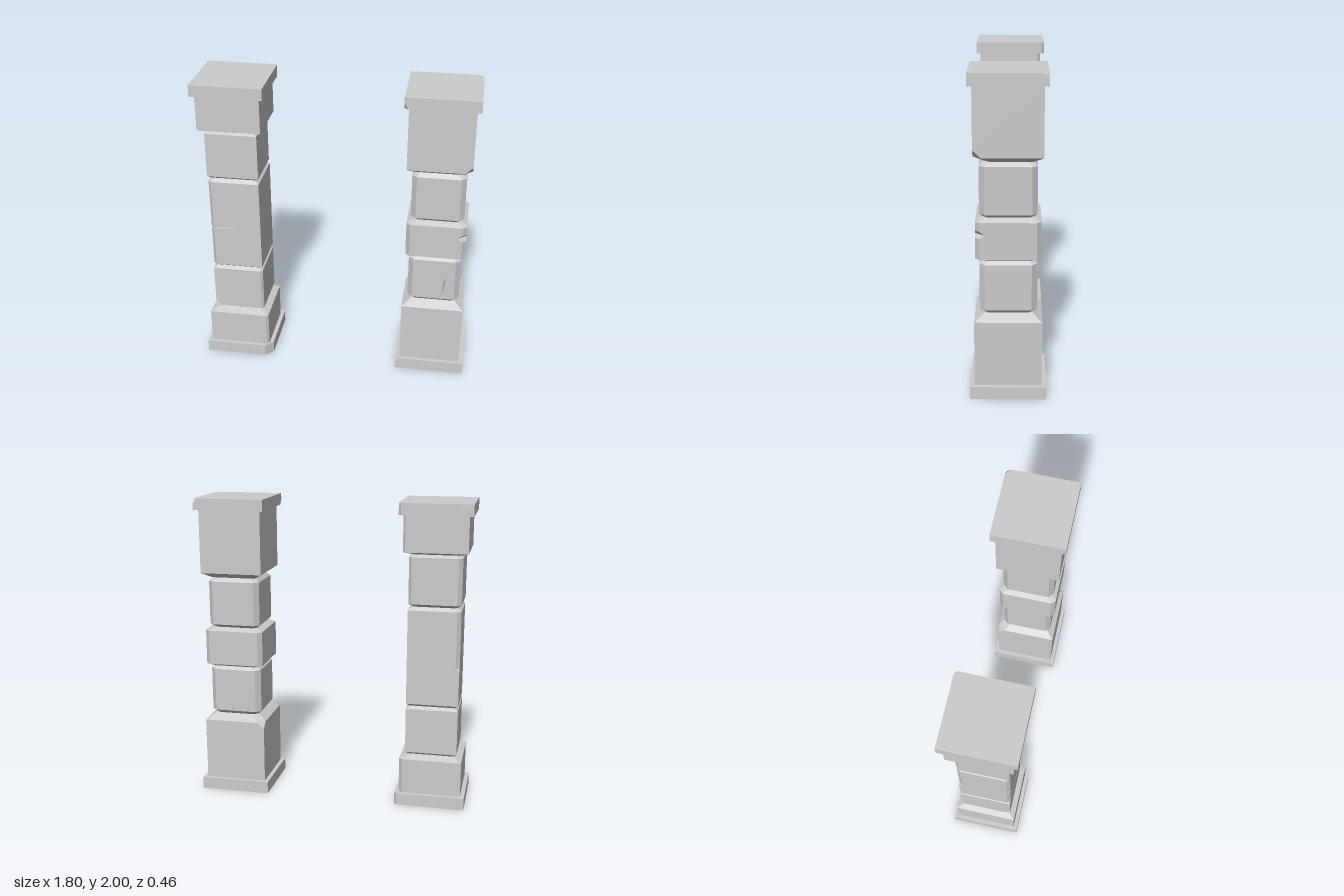
import * as THREE from 'three';

const stone = new THREE.MeshStandardMaterial({ color: 0xcccccc, flatShading: true });
const crackStone = new THREE.MeshStandardMaterial({ color: 0xcccccc, flatShading: true, side: THREE.DoubleSide });
const PLAIN = [0, 0, 0, 0];

function toGeometry(pos) {
  const g = new THREE.BufferGeometry();
  g.setAttribute('position', new THREE.Float32BufferAttribute(pos, 3));
  g.computeVertexNormals();
  return g;
}

// Square section with cut corners, in the order (+x+z), (+x-z), (-x-z), (-x+z).
function section([y, h, c]) {
  const [a, b, d, e] = c.map((v) => h - v);
  return [[a, h], [h, a], [h, -b], [b, -h], [-d, -h], [-h, -d], [-h, e], [-e, h]]
    .map(([x, z]) => new THREE.Vector3(x, y, z));
}

// Stack of sections joined into a closed stone; openFront leaves out the main front face.
function loft(rings, openFront) {
  const s = rings.map(section), pos = [];
  const tri = (a, b, c) => {
    const area = b.clone().sub(a).cross(c.clone().sub(a)).length();
    if (area > 1e-9) pos.push(...a.toArray(), ...b.toArray(), ...c.toArray());
  };
  for (let k = 0; k < s.length - 1; k++) {
    for (let i = 0; i < 8; i++) {
      if (openFront && i === 7 && rings[k][1] === rings[k + 1][1]) continue;
      const j = (i + 1) % 8;
      tri(s[k][i], s[k][j], s[k + 1][j]);
      tri(s[k][i], s[k + 1][j], s[k + 1][i]);
    }
  }
  const top = s[s.length - 1], bottom = s[0];
  for (let i = 1; i < 7; i++) {
    tri(top[0], top[i], top[i + 1]);
    tri(bottom[0], bottom[i + 1], bottom[i]);
  }
  return toGeometry(pos);
}

// Front face with a V-shaped crack; spine points are [x, y, half width].
function crackedFront(rings, h, { spine, across, depth }) {
  const body = rings.filter((r) => r[1] === h);
  const edge = body.map((r) => section(r));
  const outline = [...edge.map((p) => p[0]), ...edge.map((p) => p[7]).reverse()];
  const shape = new THREE.Shape(outline.map((p) => new THREE.Vector2(p.x, p.y)));
  const side = (sign) => spine.map(([x, y, w]) =>
    new THREE.Vector2(x + sign * w * across[0], y + sign * w * across[1]));
  const l = side(-1), r = side(1);
  shape.holes.push(new THREE.Path([...l, ...r.slice(1, -1).reverse()]));
  const face = new THREE.Mesh(new THREE.ShapeGeometry(shape).translate(0, 0, h), stone);
  face.name = 'crackedFace';

  const pos = [];
  for (const s of [l, r]) {
    for (let i = 0; i < spine.length - 1; i++) {
      const a = [s[i].x, s[i].y, h], b = [s[i + 1].x, s[i + 1].y, h];
      const deep = (k) => [spine[k][0], spine[k][1], spine[k][2] ? h - depth : h];
      const c = deep(i + 1), d = deep(i);
      if (spine[i + 1][2]) pos.push(...a, ...b, ...c);
      if (spine[i][2]) pos.push(...a, ...c, ...d);
    }
  }
  const groove = new THREE.Mesh(toGeometry(pos), crackStone);
  groove.name = 'crackGroove';
  return [face, groove];
}

// One stone: straight body from y0 to y1, optional bevels [y, half size], chips as extra [y, cuts].
function block(parent, name, y0, y1, h, { low, high, cuts = PLAIN, chips = [], crack } = {}) {
  const rings = [[y0, h, cuts], [y1, h, cuts]];
  for (const [y, c] of chips) {
    const same = rings.find((r) => r[0] === y);
    if (same) same[2] = c;
    else rings.push([y, h, c]);
  }
  rings.sort((a, b) => a[0] - b[0]);
  const bevel = ([y, half], c) => [y, half, c.map((v) => v * half / h)];
  if (low) rings.unshift(bevel(low, rings[0][2]));
  if (high) rings.push(bevel(high, rings[rings.length - 1][2]));
  const mesh = new THREE.Mesh(loft(rings, !!crack), stone);
  mesh.name = name;
  if (crack) mesh.add(...crackedFront(rings, h, crack));
  parent.add(mesh);
}

function slimPillar() {
  const g = new THREE.Group();
  g.name = 'slimPillar';
  block(g, 'plinth', 0, 0.08, 0.232, { cuts: [0.052, 0.016, 0, 0] });
  block(g, 'base', 0.08, 0.315, 0.205, { high: [0.337, 0.145], cuts: [0.016, 0.02, 0, 0] });
  block(g, 'lowerBlock', 0.355, 0.655, 0.17, {
    low: [0.337, 0.145], high: [0.672, 0.145], cuts: [0.015, 0, 0, 0],
    chips: [[0.355, [0.015, 0, 0, 0.038]], [0.395, [0.015, 0, 0, 0]]],
  });
  const mid = [0, 0, 0, 0.022], worn = [0, 0, 0.024, 0.022];
  block(g, 'middleBlock', 0.69, 1.315, 0.17, {
    low: [0.672, 0.145], high: [1.336, 0.145], cuts: mid,
    chips: [[0.92, mid], [0.945, worn], [0.96, worn], [0.97, [0, 0, 0.024, 0.03]], [0.98, worn], [1.315, worn]],
    crack: { spine: [[-0.138, 0.97, 0], [-0.13, 0.971, 0.004], [-0.06, 0.979, 0.003], [0.015, 0.988, 0]],
      across: [0, 1], depth: 0.012 },
  });
  block(g, 'upperBlock', 1.355, 1.655, 0.17, {
    low: [1.336, 0.145], high: [1.672, 0.145], cuts: [0, 0.02, 0.025, 0],
  });
  block(g, 'neck', 1.69, 1.925, 0.205, { low: [1.672, 0.145], cuts: [0, 0.016, 0, 0] });
  block(g, 'cap', 1.925, 2, 0.232, { cuts: [0, 0.016, 0, 0] });
  return g;
}

function beltedPillar() {
  const g = new THREE.Group();
  g.name = 'beltedPillar';
  const bevelled = [0.032, 0.032, 0.032, 0.032], belt = [0.027, 0.027, 0.027, 0.027];
  block(g, 'plinth', 0, 0.08, 0.232, { chips: [[0.055, PLAIN], [0.08, [0, 0, 0, 0.025]]] });
  block(g, 'base', 0.08, 0.495, 0.205, {
    high: [0.535, 0.145], chips: [[0.455, PLAIN], [0.495, [0, 0, 0.045, 0]]],
  });
  block(g, 'lowerBlock', 0.56, 0.85, 0.172, {
    low: [0.535, 0.145], high: [0.87, 0.15], cuts: bevelled,
    crack: { spine: [[0.05, 0.742, 0], [0.073, 0.702, 0.007], [0.068, 0.65, 0.005], [0.065, 0.597, 0]],
      across: [1, 0], depth: 0.012 },
  });
  block(g, 'belt', 0.89, 1.12, 0.195, {
    low: [0.87, 0.15], high: [1.14, 0.15], cuts: belt,
    chips: [[1.02, belt], [1.042, [0.055, 0.027, 0.027, 0.027]], [1.065, belt]],
  });
  block(g, 'upperBlock', 1.16, 1.45, 0.172, { low: [1.14, 0.15], high: [1.475, 0.145], cuts: bevelled });
  block(g, 'neck', 1.51, 1.925, 0.205, {
    low: [1.475, 0.145], chips: [[1.51, [0.048, 0, 0, 0]], [1.555, PLAIN]],
  });
  block(g, 'cap', 1.925, 2, 0.232, {
    chips: [[1.925, [0, 0, 0, 0.025]], [1.965, PLAIN], [2, [0, 0.035, 0, 0]]],
  });
  return g;
}

export function createModel() {
  const model = new THREE.Group();
  model.name = 'stonePillars';
  const slim = slimPillar(), belted = beltedPillar();
  slim.position.x = -0.668;
  belted.position.x = 0.666;
  model.add(slim, belted);
  return model;
}
